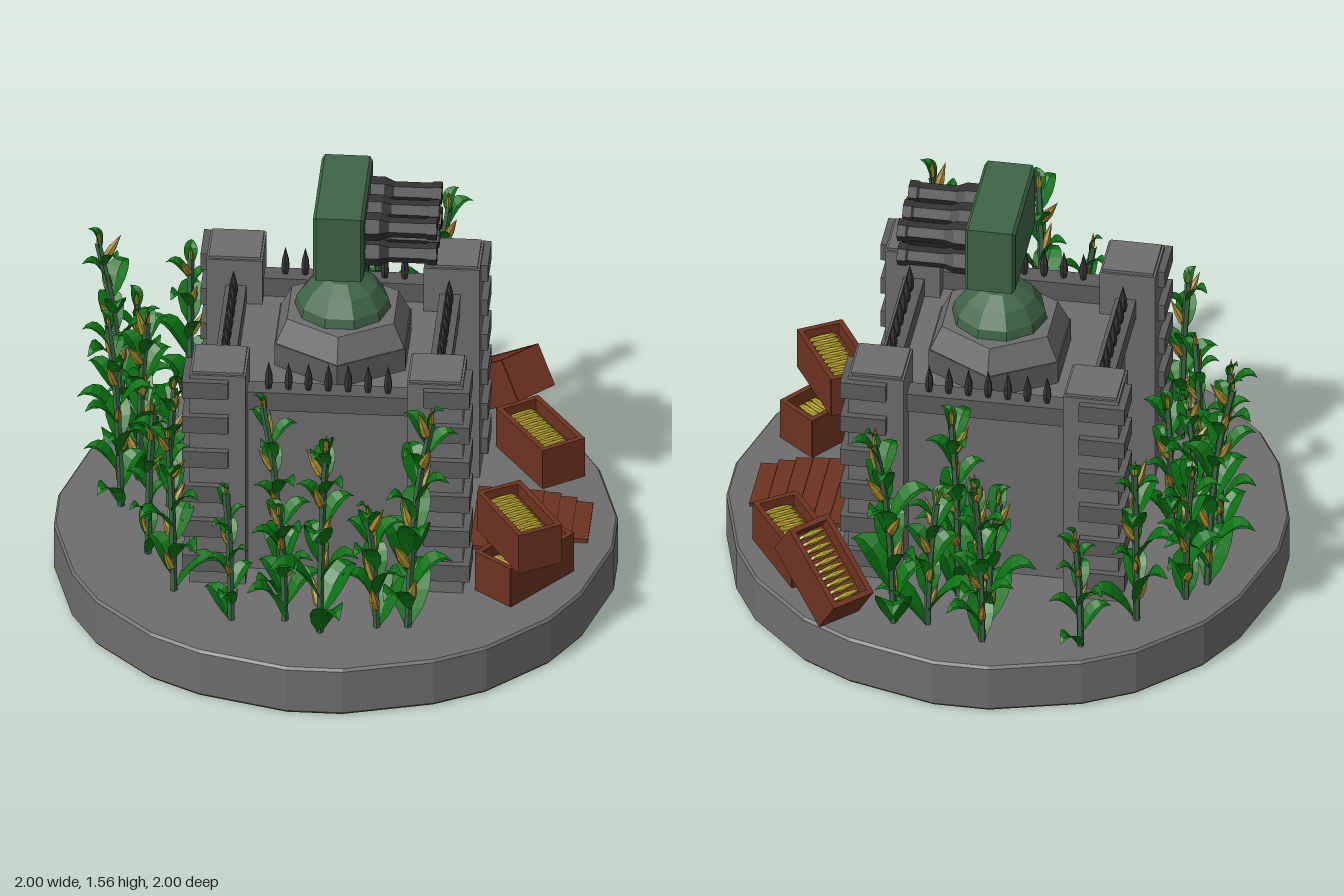
import * as THREE from 'three';

const mat = (color, side = THREE.FrontSide) =>
  new THREE.MeshStandardMaterial({ color, flatShading: true, side });

export function createModel() {
  const stone = mat(0x6e6e6e), darkStone = mat(0x5c5c5c), iron = mat(0x343436);
  const paint = mat(0x3f6446), wood = mat(0x6e3320), grain = mat(0xb5a22c);
  const leafMat = mat(0x0a7012, THREE.DoubleSide), stalkMat = mat(0x3c6644), earMat = mat(0xa3842a);
  const model = new THREE.Group();
  model.name = 'cornFieldBunker';

  const add = (parent, name, geo, material, x = 0, y = 0, z = 0) => {
    const m = new THREE.Mesh(geo, material);
    m.name = name;
    m.position.set(x, y, z);
    parent.add(m);
    return m;
  };
  // Box given by its minimum and maximum corners
  const span = (parent, name, material, x0, x1, y0, y1, z0, z1) =>
    add(parent, name, new THREE.BoxGeometry(x1 - x0, y1 - y0, z1 - z0), material,
      (x0 + x1) / 2, (y0 + y1) / 2, (z0 + z1) / 2);

  // Ground disc: one quarter of the outline, turned four times
  const quarter = [[1, 0.1], [0.91, 0.42], [0.81, 0.6], [0.6, 0.81], [0.42, 0.91], [0.1, 1]];
  const outline = [];
  for (let q = 0; q < 4; q++)
    for (const [x, y] of quarter)
      outline.push(new THREE.Vector2(x, y).rotateAround(new THREE.Vector2(), q * Math.PI / 2));
  const disc = new THREE.ExtrudeGeometry(new THREE.Shape(outline), {
    depth: 0.17, bevelThickness: 0.01, bevelSize: 0.008, bevelOffset: -0.008, bevelSegments: 1 });
  add(model, 'groundDisc', disc.rotateX(-Math.PI / 2), stone, 0, 0.01, 0);

  // Bunker, centred on its own axis
  const bunker = new THREE.Group();
  bunker.name = 'bunker';
  bunker.position.set(0, 0, -0.035);
  model.add(bunker);
  span(bunker, 'walls', stone, -0.38, 0.38, 0.18, 0.88, -0.38, 0.38);

  const spikeGeo = new THREE.LatheGeometry([[0.009, 0], [0.016, 0.03], [0.014, 0.06], [0, 0.115]]
    .map(p => new THREE.Vector2(...p)), 6);
  for (let side = 0; side < 4; side++) {
    const wall = new THREE.Group();
    wall.name = 'parapet';
    wall.rotation.y = side * Math.PI / 2;
    bunker.add(wall);
    span(wall, 'parapetRim', darkStone, -0.3, 0.3, 0.88, 0.955, 0.345, 0.42);
    for (let i = -3; i <= 3; i++) add(wall, 'spike', spikeGeo, iron, i * 0.071, 0.95, 0.385);
  }

  // Corner towers with cornerstones
  for (const sx of [-1, 1]) for (const sz of [-1, 1]) {
    const tower = new THREE.Group();
    tower.name = 'cornerTower';
    tower.position.set(sx * 0.388, 0, sz * 0.388);
    bunker.add(tower);
    span(tower, 'towerShaft', stone, -0.1, 0.1, 0.18, 1.06, -0.1, 0.1);
    span(tower, 'towerCap', stone, -0.092, 0.092, 1.05, 1.07, -0.092, 0.092);
    for (let i = 0; i < 6; i++)
      add(tower, 'cornerstone', new THREE.BoxGeometry(0.165, 0.068, 0.165), darkStone,
        sx * 0.043, 0.285 + i * 0.145, sz * 0.043);
  }

  // Gate: frame with an opening and an iron grate
  const frame = new THREE.Shape([[-0.2, 0], [0.2, 0], [0.2, 0.425], [-0.2, 0.425]].map(p => new THREE.Vector2(...p)));
  frame.holes.push(new THREE.Path([[-0.15, 0.01], [-0.15, 0.365], [0.15, 0.365], [0.15, 0.01]]
    .map(p => new THREE.Vector2(...p))));
  add(bunker, 'gateFrame', new THREE.ExtrudeGeometry(frame, { depth: 0.08, bevelEnabled: false })
    .rotateY(Math.PI / 2), darkStone, 0.37, 0.19, 0);
  for (let i = 0; i < 7; i++) {
    const z = -0.144 + i * 0.048, y = 0.215 + i * 0.054;
    span(bunker, 'grateBar', iron, 0.405, 0.42, 0.19, 0.555, z - 0.008, z + 0.008);
    span(bunker, 'grateBar', iron, 0.4, 0.425, y - 0.008, y + 0.008, -0.15, 0.15);
  }

  // Plank path leading to the gate
  [0.2, 0.2, 0.195, 0.19, 0.18, 0.155, 0.125].forEach((half, i) => {
    const x = 0.49 + i * 0.059;
    const plank = span(model, 'plank', wood, x, x + 0.062, 0.186, 0.206, -0.04 - half, -0.04 + half);
    plank.rotation.z = -0.06;
  });

  // Turret
  const turret = new THREE.Group();
  turret.name = 'turret';
  turret.position.set(0.02, 0, -0.057);
  model.add(turret);
  add(turret, 'turretPlinth', new THREE.CylinderGeometry(0.27, 0.27, 0.1, 6), darkStone, 0, 0.92, 0);
  add(turret, 'turretSeat', new THREE.CylinderGeometry(0.22, 0.265, 0.09, 6), stone, 0, 1.015, 0);
  add(turret, 'dome', new THREE.SphereGeometry(0.178, 10, 4, 0, Math.PI * 2, 0, Math.PI / 2), paint, 0, 1.03, 0)
    .scale.y = 0.95;
  add(turret, 'post', new THREE.CylinderGeometry(0.026, 0.026, 0.14, 8), paint, 0.005, 1.24, 0);
  const face = new THREE.Shape([[-0.205, -0.118], [0.205, -0.118], [0.205, 0.118], [-0.205, 0.118]]
    .map(p => new THREE.Vector2(...p)));
  add(turret, 'launcherBox', new THREE.ExtrudeGeometry(face, {
    depth: 0.16, bevelThickness: 0.011, bevelSize: 0.012, bevelSegments: 1 })
    .rotateY(Math.PI / 2), paint, -0.079, 1.43, 0.01);
  // Hollow six-sided barrels
  const barrelGeo = new THREE.LatheGeometry([[0.051, -0.02], [0.051, 0.05], [0.036, 0.085], [0.036, 0.215],
    [0.041, 0.225], [0.041, 0.255], [0.027, 0.255], [0.027, 0.12], [0, 0.12]]
    .map(p => new THREE.Vector2(...p)), 6).rotateZ(-Math.PI / 2);
  for (const y of [1.365, 1.47]) for (const z of [-0.12, 0, 0.12])
    add(turret, 'barrel', barrelGeo, iron, 0.091, y, z);

  // Crates filled with cobs; long side runs along local x
  const cobGeo = new THREE.SphereGeometry(0.5, 6, 4).scale(0.024, 0.03, 0.125);
  const crate = (x, y, z, yaw, pitch = 0) => {
    const c = new THREE.Group();
    c.name = 'crate';
    c.position.set(x, y, z);
    c.rotation.set(0, yaw, pitch, 'YZX');
    model.add(c);
    span(c, 'crateFloor', wood, -0.165, 0.165, -0.08, 0.03, -0.085, 0.085);
    for (const s of [-1, 1]) {
      add(c, 'crateSide', new THREE.BoxGeometry(0.33, 0.16, 0.02), wood, 0, 0, s * 0.077);
      add(c, 'crateEnd', new THREE.BoxGeometry(0.02, 0.16, 0.17), wood, s * 0.157, 0, 0);
    }
    for (let i = 0; i < 10; i++) add(c, 'cob', cobGeo, grain, -0.128 + i * 0.0285, 0.045, 0);
  };
  crate(0.695, 0.27, -0.45, -0.97);
  crate(0.54, 0.35, -0.73, -0.78, 0.6);
  crate(0.7, 0.27, 0.35, 0.9);
  crate(0.685, 0.435, 0.385, -1.03);

  // Leaf: arching folded blade along +z, built from three-point cross-sections
  const pos = [], idx = [];
  for (let i = 0; i <= 6; i++) {
    const t = i / 6, w = 0.056 * Math.sin(Math.PI * Math.pow(t, 0.8)) + 0.004 * (1 - t);
    const z = 0.13 * t + 0.03 * t * t, y = 0.17 * Math.sin(t * 2);
    pos.push(-w, y + w * 0.3, z - w * 0.2, 0, y, z, w, y + w * 0.3, z - w * 0.2);
    if (i) for (const k of [0, 1]) {
      const a = (i - 1) * 3 + k;
      idx.push(a, a + 3, a + 1, a + 1, a + 3, a + 4);
    }
  }
  const leafGeo = new THREE.BufferGeometry();
  leafGeo.setAttribute('position', new THREE.Float32BufferAttribute(pos, 3));
  leafGeo.setIndex(idx);
  leafGeo.computeVertexNormals();
  const earGeo = new THREE.LatheGeometry([[0, 0], [0.018, 0.03], [0.017, 0.07], [0, 0.14]]
    .map(p => new THREE.Vector2(...p)), 6);

  let seed = 7;
  const rnd = () => (seed = (seed * 16807) % 2147483647) / 2147483647;

  // Corn plant: base position, height of the stalk tip, lean of the tip, leaf size
  const corn = (x, z, top, lx, lz, size) => {
    const plant = new THREE.Group();
    plant.name = 'cornPlant';
    model.add(plant);
    const h = top - 0.18;
    const path = new THREE.CatmullRomCurve3([[0, 0], [0.35, 0.15], [0.7, 0.45], [1, 1]]
      .map(([t, l]) => new THREE.Vector3(x + lx * l, 0.18 + h * t, z + lz * l)));
    add(plant, 'stalk', new THREE.TubeGeometry(path, 8, 0.013, 5), stalkMat);
    const place = (name, geo, material, t, yaw, pitch, s) => {
      const p = path.getPoint(t), m = add(plant, name, geo, material, p.x, p.y, p.z);
      m.rotation.set(pitch, yaw, 0, 'YXZ');
      m.scale.setScalar(s);
    };
    const n = Math.round(4 + h * 9);
    for (let i = 0; i < n; i++) {
      const t = i / n, yaw = i * 2.4 + rnd() * 0.8 + x * 9;
      place('leaf', leafGeo, leafMat, t * 0.95, yaw, -0.15 + rnd() * 0.35, size * (1.1 - 0.5 * t) * (0.85 + rnd() * 0.3));
      if (i % 2) place('ear', earGeo, earMat, t * 0.95 + 0.03, yaw + 1.2, 0.3 + rnd() * 0.3, size);
    }
    place('topEar', earGeo, earMat, 0.98, 0, 0.1, 0.6 * size);
    place('topLeaf', leafGeo, leafMat, 0.95, Math.atan2(lx, lz), -0.3, 0.5 * size);
  };
  const plants = [
    [-0.4, -0.81, 0.65, 0.02, 0, 0.65], [-0.05, -0.84, 0.9, 0.02, -0.06, 0.8], [-0.05, -0.73, 0.7, -0.04, 0.02, 0.9],
    [0.16, -0.77, 0.7, -0.03, 0.03, 0.85], [0.28, -0.78, 1.0, 0.06, -0.06, 1], [0.08, -0.58, 0.92, 0.03, 0.02, 0.95],
    [-0.57, -0.62, 0.85, 0, -0.04, 0.85], [-0.72, -0.46, 0.75, -0.03, -0.04, 0.85], [-0.78, -0.36, 1.07, -0.1, -0.03, 0.9],
    [-0.72, -0.22, 0.85, 0.03, 0, 0.9], [-0.77, -0.04, 0.92, -0.05, -0.04, 0.8], [-0.6, -0.05, 0.7, 0.02, 0.02, 0.85],
    [-0.65, 0.27, 0.78, 0.02, 0, 0.65], [-0.54, 0.51, 0.85, -0.02, 0.03, 0.8], [-0.32, 0.69, 0.72, -0.02, 0, 0.6],
    [-0.15, 0.54, 0.98, -0.07, -0.02, 0.8], [-0.13, 0.68, 0.65, -0.02, 0.03, 0.8], [0, 0.75, 1.0, 0.03, 0.07, 0.95],
    [0.2, 0.7, 0.65, -0.03, 0.02, 0.95], [0.31, 0.69, 1.07, 0.09, 0.03, 1],
  ];
  for (const p of plants) corn(...p);

  return model;
}
